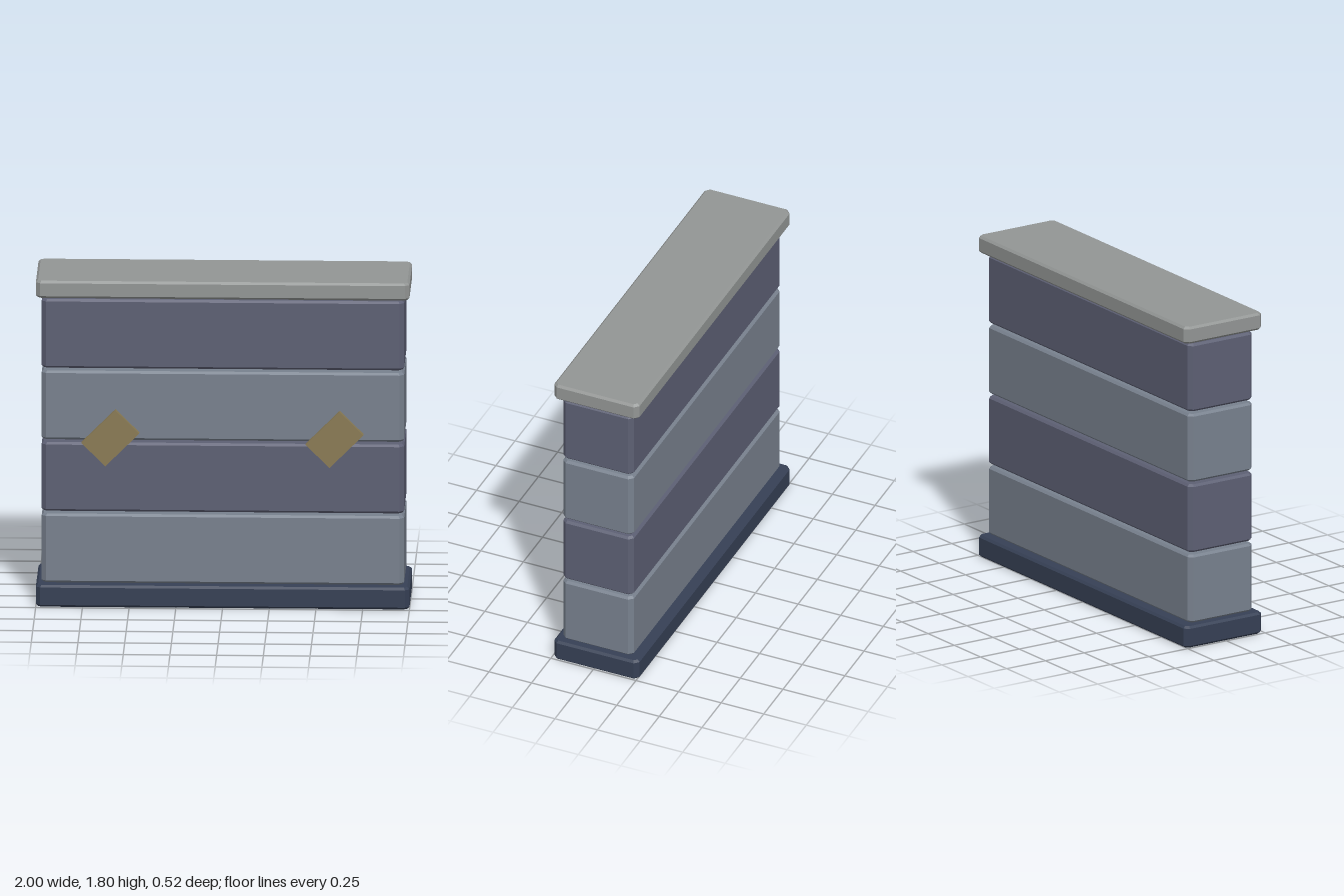
import * as THREE from 'three';

const BEVEL = 0.012;   // bevel on top and bottom rims
const CORNER = 0.024;  // cut on the upright corners
const WALL_Z = -0.01;  // wall centre line

// Block with cut upright corners and bevelled rims, resting on y = 0
function blockGeometry(width, height, depth) {
  const x = width / 2, z = depth / 2, c = CORNER;
  const outline = new THREE.Shape([
    [x, c - z], [x, z - c], [x - c, z], [c - x, z],
    [-x, z - c], [-x, c - z], [c - x, -z], [x - c, -z],
  ].map(([px, py]) => new THREE.Vector2(px, py)));
  const geometry = new THREE.ExtrudeGeometry(outline, {
    depth: height - 2 * BEVEL,
    bevelThickness: BEVEL, bevelSize: BEVEL, bevelOffset: -BEVEL, bevelSegments: 1,
  });
  return geometry.translate(0, 0, BEVEL).rotateX(-Math.PI / 2);
}

export function createModel() {
  const model = new THREE.Group();
  model.name = 'wallSegment';

  const paint = (color) => new THREE.MeshStandardMaterial({ color, flatShading: true });
  const navy = paint(0x364055);
  const slate = paint(0x78818e);
  const indigo = paint(0x5d6074);
  const stone = paint(0x939695);
  const brass = paint(0x8a7b55);

  const add = (name, geometry, material, x, y, z) => {
    const mesh = new THREE.Mesh(geometry, material);
    mesh.name = name;
    mesh.position.set(x, y, z);
    model.add(mesh);
    return mesh;
  };

  // Plinth and coping slab
  add('plinth', blockGeometry(2, 0.12, 0.5), navy, 0, 0, WALL_Z);
  add('coping', blockGeometry(2, 0.095, 0.5), stone, 0, 1.705, WALL_Z);

  // Four courses in alternating colours with open joints
  const course = blockGeometry(1.94, 0.38, 0.415);
  for (let i = 0; i < 4; i++) {
    add(`course${i + 1}`, course, i % 2 ? indigo : slate, 0, 0.125 + i * 0.395, WALL_Z + 0.003);
  }

  // Two tilted plates in front of the wall, both leaning the same way
  const plate = new THREE.BoxGeometry(0.257, 0.18, 0.033);
  for (const [name, x] of [['leftPlate', 0.6], ['rightPlate', -0.6]]) {
    add(name, plate, brass, x, 0.94, 0.245).rotation.z = Math.PI / 4;
  }

  return model;
}
